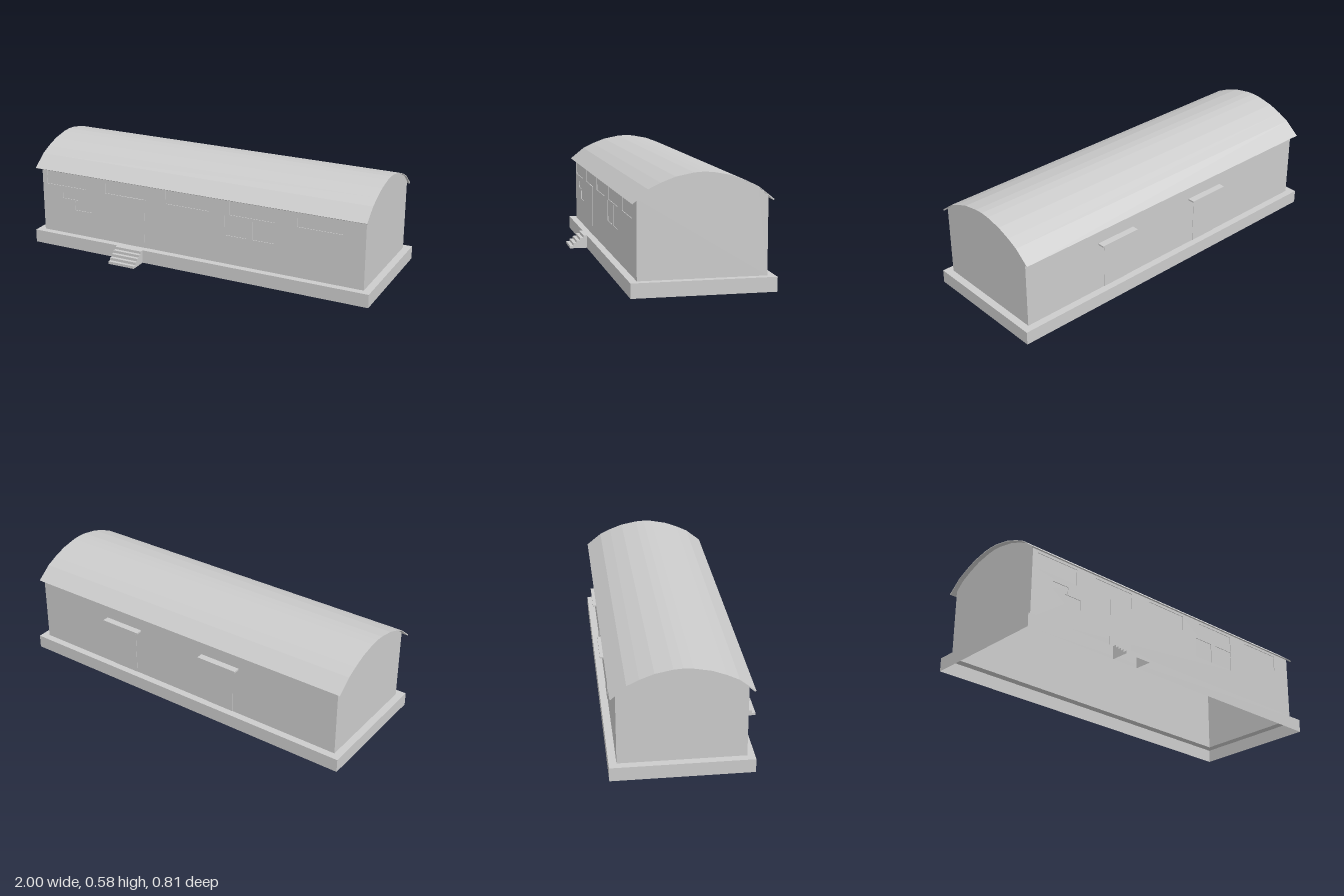
import * as THREE from 'three';

const MID = -0.047;            // z of the ridge line
const FRONT = 0.272, BACK = -0.366, HALF = 0.96, FLOOR = 0.073;
const BASE_FRONT = 0.31, BASE_BACK = -0.405;
// half of the roof curve, as [distance from ridge, height]
const ARC = [[0.347, 0.443], [0.267, 0.507], [0.207, 0.536], [0.135, 0.563], [0.047, 0.58], [0, 0.583]];

const material = new THREE.MeshStandardMaterial({ color: 0xcccccc, flatShading: true, side: THREE.DoubleSide });

function add(group, name, geometry, x = 0, y = 0, z = 0) {
  const mesh = new THREE.Mesh(geometry, material);
  mesh.name = name;
  mesh.position.set(x, y, z);
  group.add(mesh);
  return mesh;
}

// box given by its limits on each axis
function box(group, name, [x0, x1], [y0, y1], [z0, z1]) {
  return add(group, name, new THREE.BoxGeometry(x1 - x0, y1 - y0, z1 - z0),
    (x0 + x1) / 2, (y0 + y1) / 2, (z0 + z1) / 2);
}

const polygon = (points) => new THREE.Shape(points.map(([x, y]) => new THREE.Vector2(x, y)));
const rect = (x0, x1, y0, y1) => polygon([[x0, y0], [x1, y0], [x1, y1], [x0, y1]]);

// profile of [z, y] points swept along x
function sweepX(points, x0, x1) {
  const shape = polygon(points.map(([z, y]) => [-z, y]));
  return new THREE.ExtrudeGeometry(shape, { depth: x1 - x0, bevelEnabled: false })
    .rotateY(Math.PI / 2).translate(x0, 0, 0);
}

// whole roof curve from front to back, lowered by some amount
function roofCurve(drop) {
  const half = ARC.map(([d, y]) => [MID + d, y - drop]);
  const other = ARC.slice(0, -1).reverse().map(([d, y]) => [MID - d, y - drop]);
  return [...half, ...other];
}

function buildPlinth() {
  const g = new THREE.Group();
  g.name = 'plinth';
  // ledge around the walls, open in the middle
  const ledge = rect(-1, 1, -BASE_FRONT, -BASE_BACK);
  ledge.holes.push(rect(-HALF, HALF, -FRONT, -BACK));
  add(g, 'ledge', new THREE.ShapeGeometry(ledge).rotateX(-Math.PI / 2), 0, FLOOR, 0);
  // hollow skirt
  for (const [name, z] of [['frontSkirt', BASE_FRONT], ['backSkirt', BASE_BACK]])
    add(g, name, new THREE.PlaneGeometry(2, FLOOR).rotateY(z > 0 ? 0 : Math.PI), 0, FLOOR / 2, z);
  for (const s of [-1, 1])
    add(g, 'endSkirt', new THREE.PlaneGeometry(BASE_FRONT - BASE_BACK, FLOOR).rotateY(s * Math.PI / 2),
      s, FLOOR / 2, (BASE_FRONT + BASE_BACK) / 2);
  return g;
}

function buildStairs() {
  const g = new THREE.Group();
  g.name = 'stairs';
  const n = 5, run = 0.0193, rise = FLOOR / n, x0 = -0.46, x1 = -0.30, w = x1 - x0, z0 = 0.407;
  const side = [[-BASE_FRONT, 0], [-z0, 0]];
  for (let i = 0; i < n; i++) {
    const z = z0 - i * run, y = (i + 1) * rise;
    const inner = i === n - 1 ? BASE_FRONT : z - run;
    side.push([-z, y], [-inner, y]);
    add(g, 'riser', new THREE.PlaneGeometry(w, rise), (x0 + x1) / 2, y - rise / 2, z);
    add(g, 'tread', new THREE.PlaneGeometry(w, z - inner).rotateX(-Math.PI / 2), (x0 + x1) / 2, y, (z + inner) / 2);
  }
  for (const x of [x0, x1])
    add(g, 'stairSide', new THREE.ShapeGeometry(polygon(side)).rotateY(Math.PI / 2), x, 0, 0);
  return g;
}

function buildWalls() {
  const g = new THREE.Group();
  g.name = 'walls';
  const top = 0.462, t = 0.004;

  // front wall with shallow recesses
  const recesses = [[0.18, 0.305, 0.235, 0.345], [0.34, 0.465, 0.235, 0.345],   // window pair
    [-0.83, -0.73, 0.28, 0.32], [-0.75, -0.645, 0.22, 0.275]];                 // small patches
  for (let i = 0; i < 5; i++) {                                                // high strip windows
    const x = -0.93 + i * 0.38;
    recesses.push([x, x + 0.255, 0.352, 0.44]);
  }
  const front = rect(-HALF, HALF, FLOOR, top);
  for (const r of recesses) front.holes.push(rect(...r));
  add(g, 'frontWall', new THREE.ExtrudeGeometry(front, { depth: t, bevelEnabled: false }), 0, 0, FRONT - t);
  for (const [a, b, c, d] of recesses)
    add(g, 'recessPanel', new THREE.PlaneGeometry(b - a, d - c), (a + b) / 2, (c + d) / 2, FRONT - t + 0.0005);

  box(g, 'backWall', [-HALF, HALF], [FLOOR, top], [BACK, BACK + t]);

  // end walls rising to the roof curve
  const curve = roofCurve(0.003).slice(1, -1);
  const gable = [[FRONT, FLOOR], [FRONT, top], ...curve, [BACK, top], [BACK, FLOOR]];
  add(g, 'rightEndWall', sweepX(gable, -HALF, -HALF + t));
  add(g, 'leftEndWall', sweepX(gable, HALF - t, HALF));
  return g;
}

function buildDoors() {
  const g = new THREE.Group();
  g.name = 'doors';
  box(g, 'frontDoor', [-0.45, -0.305], [FLOOR, 0.352], [FRONT - 0.001, FRONT + 0.002]);
  for (const x of [0.38, -0.26]) {
    box(g, 'backDoor', [x - 0.08, x + 0.08], [FLOOR, 0.344], [BACK - 0.002, BACK + 0.001]);
    box(g, 'canopy', [x - 0.118, x + 0.118], [0.343, 0.352], [-0.403, BACK]);
  }
  return g;
}

export function createModel() {
  const model = new THREE.Group();
  model.name = 'barrelRoofedHall';
  model.add(buildPlinth(), buildStairs(), buildWalls(), buildDoors());
  // thin curved roof with eaves
  const under = roofCurve(0.004).reverse();
  under[0][0] += 0.006;
  under[under.length - 1][0] -= 0.006;
  add(model, 'roof', sweepX([...roofCurve(0), ...under], -0.985, 0.97));
  return model;
}
